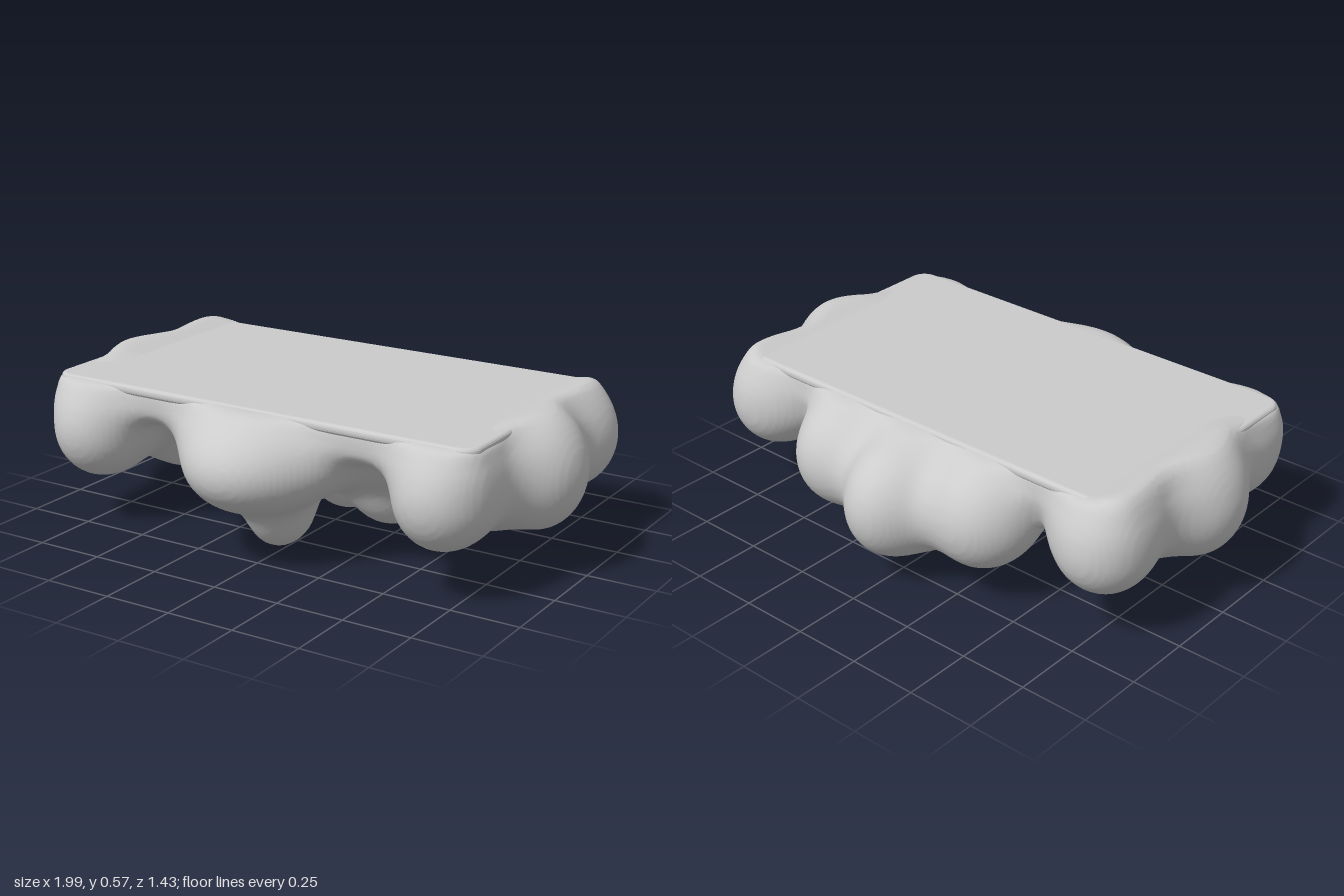
import * as THREE from 'three';

// Puffs as ellipsoids: centre x, y, z, then radii x, y, z
const belly = [[0, 0.4, 0.02, 0.8, 0.2, 0.4]];
const frontPuffs = [
  [-0.03, 0.375, 0.42, 0.31, 0.18, 0.21],
  [-0.03, 0.36, 0.52, 0.19, 0.14, 0.19],
];
const backPuffs = [
  [0, 0.3, -0.5, 0.17, 0.21, 0.22],
  [0, 0.32, -0.4, 0.45, 0.17, 0.18],
  [-0.32, 0.33, -0.42, 0.16, 0.19, 0.185],
  [0.33, 0.33, -0.43, 0.16, 0.19, 0.19],
];
const lowerPuffs = [
  [-0.02, 0.15, 0.32, 0.11, 0.135, 0.14],
  [-0.02, 0.18, -0.2, 0.15, 0.175, 0.25],
  [0.29, 0.21, 0.08, 0.14, 0.125, 0.15],
  [-0.33, 0.2, 0.08, 0.14, 0.13, 0.15],
];
const sidePuffs = [-1, 1].flatMap((s) => [
  [s * 0.7 - 0.015, 0.37, 0.425, 0.17, 0.19, 0.19], // front corner
  [s * 0.765, 0.375, -0.345, 0.16, 0.185, 0.175], // back corner
  [s * 0.84, 0.37, 0.055, 0.155, 0.2, 0.18], // middle
  [s * 0.7, 0.37, 0, 0.18, 0.17, 0.45], // long fill
  [s * 0.63, 0.26, -0.01, 0.14, 0.145, 0.2], // underside
]);
const puffs = [...belly, ...frontPuffs, ...backPuffs, ...lowerPuffs, ...sidePuffs];

// Approximate distance to an ellipsoid
function puffDistance([cx, cy, cz, rx, ry, rz], x, y, z) {
  const a = (x - cx) / rx, b = (y - cy) / ry, c = (z - cz) / rz;
  const k0 = Math.hypot(a, b, c);
  const k1 = Math.hypot(a / rx, b / ry, c / rz);
  return k1 < 1e-6 ? -Math.min(rx, ry, rz) : (k0 * (k0 - 1)) / k1;
}

// Distance to the rounded block under the deck
function blockDistance(x, y, z) {
  const r = 0.06;
  const a = Math.abs(x + 0.025) - 0.835 + r;
  const b = Math.abs(y - 0.5) - 0.08 + r;
  const c = Math.abs(z - 0.037) - 0.465 + r;
  return Math.hypot(Math.max(a, 0), Math.max(b, 0), Math.max(c, 0))
    + Math.min(Math.max(a, b, c), 0) - r;
}

// Minimum with a soft transition of the given width
function smoothMin(a, b, width) {
  const h = Math.max(width - Math.abs(a - b), 0) / width;
  return Math.min(a, b) - h * h * width * 0.25;
}

// Soft union of block and puffs, cut off flat just below the deck
function cloudDistance(x, y, z) {
  let d = blockDistance(x, y, z);
  for (const puff of puffs) d = smoothMin(d, puffDistance(puff, x, y, z), 0.12);
  const rise = THREE.MathUtils.smoothstep(Math.abs(x), 0.7, 0.86)
    * (1 - THREE.MathUtils.smoothstep(z, 0.15, 0.4));
  return -smoothMin(-d, 0.55 + 0.03 * rise - y, 0.02);
}

// Skin the cloud: one vertex per grid cell the surface crosses, one quad per crossed grid edge
function cloudGeometry() {
  const step = 0.016;
  const size = [132, 40, 98];
  const origin = [-1.056, -0.022, -0.784];
  const stride = [1, size[0], size[0] * size[1]];
  const total = stride[2] * size[2];
  const value = new Float32Array(total);
  const cell = new Int32Array(total).fill(-1);
  const gridLoop = (visit) => {
    for (let k = 0; k < size[2]; k++)
      for (let j = 0; j < size[1]; j++)
        for (let i = 0; i < size[0]; i++) visit([i, j, k], i + j * stride[1] + k * stride[2]);
  };
  const inner = (p) => p.every((n, a) => n > 0 && n < size[a] - 1);

  gridLoop((p, id) => {
    value[id] = cloudDistance(...p.map((n, a) => origin[a] + n * step));
  });

  // Vertex at the mean of the crossings on the cell's twelve edges
  const positions = [];
  gridLoop((p, id) => {
    if (!inner(p)) return;
    const sum = [0, 0, 0];
    let count = 0;
    for (let axis = 0; axis < 3; axis++) {
      const u = (axis + 1) % 3, v = (axis + 2) % 3;
      for (let n = 0; n < 4; n++) {
        const du = n & 1, dv = n >> 1;
        const from = id + du * stride[u] + dv * stride[v];
        const a = value[from], b = value[from + stride[axis]];
        if (a < 0 === b < 0) continue;
        sum[axis] += a / (a - b);
        sum[u] += du;
        sum[v] += dv;
        count++;
      }
    }
    if (!count) return;
    cell[id] = positions.length / 3;
    positions.push(...p.map((n, a) => origin[a] + (n + sum[a] / count) * step));
  });

  // Quads around crossed edges, turned to face outwards
  const index = [];
  gridLoop((p, id) => {
    if (!inner(p)) return;
    for (let axis = 0; axis < 3; axis++) {
      const inside = value[id] < 0;
      if (inside === value[id + stride[axis]] < 0) continue;
      const u = stride[(axis + 1) % 3], v = stride[(axis + 2) % 3];
      const [a, b, c, d] = [id - u - v, id - v, id, id - u].map((n) => cell[n]);
      if (inside) index.push(a, b, c, a, c, d);
      else index.push(a, c, b, a, d, c);
    }
  });

  const geometry = new THREE.BufferGeometry();
  geometry.setAttribute('position', new THREE.Float32BufferAttribute(positions, 3));
  geometry.setIndex(index);
  geometry.computeVertexNormals();
  return geometry;
}

// Thin plate with rounded corners and a soft rim, lying flat
function deckGeometry(w, d, r, rim) {
  const x = w / 2 - rim, y = d / 2 - rim;
  const shape = new THREE.Shape();
  shape.absarc(x - r, y - r, r, 0, Math.PI / 2);
  shape.absarc(r - x, y - r, r, Math.PI / 2, Math.PI);
  shape.absarc(r - x, r - y, r, Math.PI, Math.PI * 1.5);
  shape.absarc(x - r, r - y, r, Math.PI * 1.5, Math.PI * 2);
  return new THREE.ExtrudeGeometry(shape, {
    depth: 0.005, bevelThickness: rim, bevelSize: rim, bevelSegments: 4, curveSegments: 8,
  }).rotateX(-Math.PI / 2);
}

export function createModel() {
  const model = new THREE.Group();
  model.name = 'cloudPlatform';
  const material = new THREE.MeshStandardMaterial({ color: 0xcccccc });

  // Billowing body
  const cloud = new THREE.Mesh(cloudGeometry(), material);
  cloud.name = 'cloud';

  // Flat standing surface
  const deck = new THREE.Mesh(deckGeometry(1.69, 0.95, 0.05, 0.015), material);
  deck.name = 'deck';
  deck.position.set(-0.02, 0.536, 0.037);

  model.add(cloud, deck);
  return model;
}
